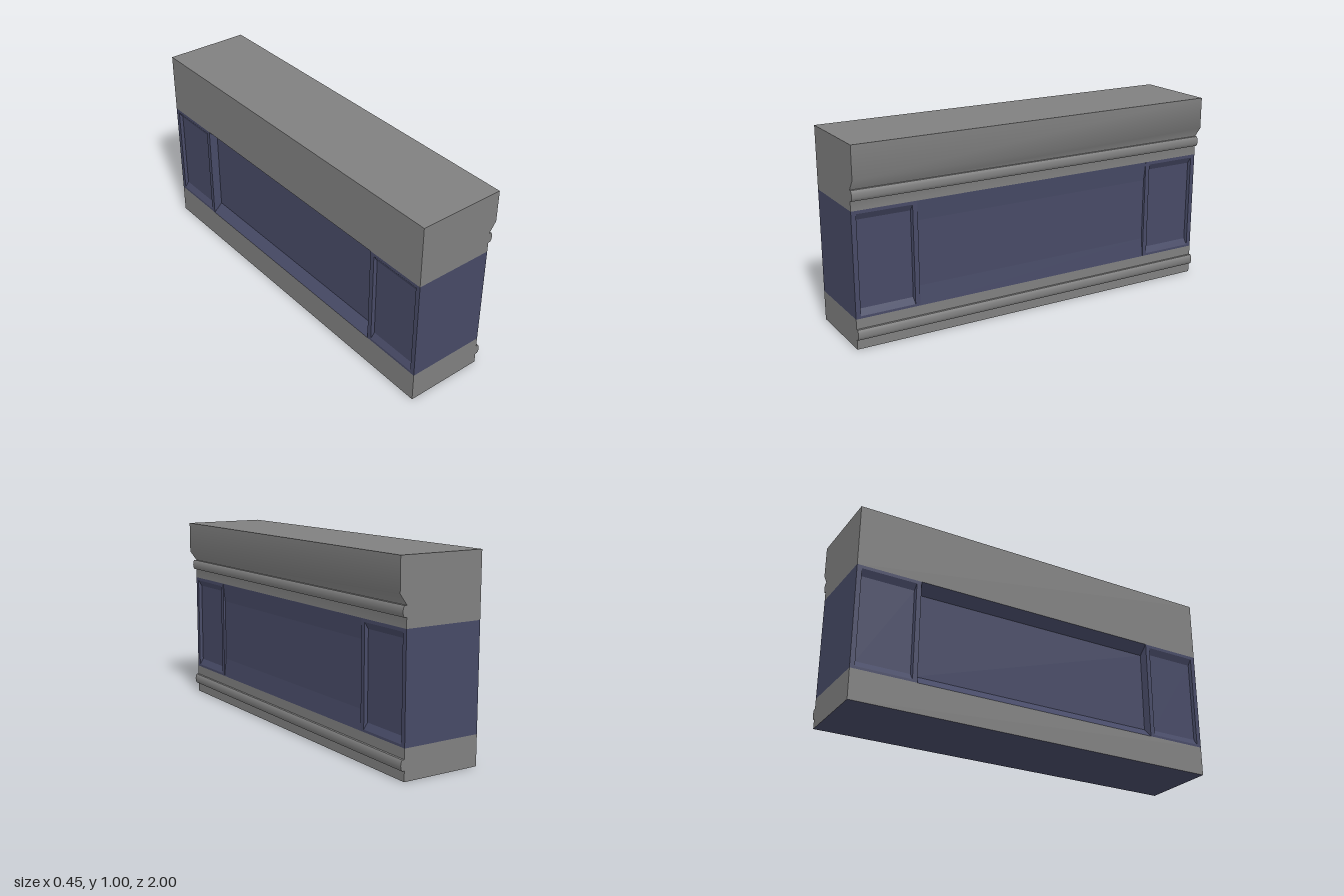
import * as THREE from 'three';
import { toCreasedNormals } from 'three/addons/utils/BufferGeometryUtils.js';

const LEFT = -0.227, RIGHT = 0.188;      // wall faces
const LOW = 0.153, HIGH = 0.682;         // coloured band
const PIER = 0.668;                      // inner edge of the end piers

export function createModel() {
  const stone = new THREE.MeshStandardMaterial({ name: 'grey stone', color: 0x808080 });
  const blue = new THREE.MeshStandardMaterial({ name: 'slate blue', color: 0x474a66 });
  const model = new THREE.Group();
  model.name = 'panelledWall';

  const add = (name, geometry, material, parent = model) => {
    const mesh = new THREE.Mesh(geometry, material);
    mesh.name = name;
    parent.add(mesh);
    return mesh;
  };

  // Runs a cross-section along the whole length of the wall
  const run = (shape) => {
    const g = new THREE.ExtrudeGeometry(shape, { depth: 2, bevelEnabled: false, curveSegments: 6 });
    g.translate(0, 0, -1);
    return toCreasedNormals(g, 0.7);
  };

  // Base with a blue underside
  const base = new THREE.BoxGeometry(RIGHT - LEFT, LOW, 2);
  base.translate((LEFT + RIGHT) / 2, LOW / 2, 0);
  add('base', base, [stone, stone, stone, blue, stone, stone]);

  // Coping with a sloped overhang
  const coping = [[LEFT, HIGH], [RIGHT, HIGH], [RIGHT, 0.785], [0.225, 0.836], [0.225, 1], [LEFT, 1]];
  add('coping', run(new THREE.Shape(coping.map(([x, y]) => new THREE.Vector2(x, y)))), stone);

  // Rounded mouldings
  for (const [name, y] of [['lowerMoulding', 0.077], ['upperMoulding', 0.758]]) {
    const s = new THREE.Shape();
    s.moveTo(RIGHT, y - 0.026);
    s.lineTo(0.2, y - 0.026);
    s.bezierCurveTo(0.211, y - 0.016, 0.211, y + 0.016, 0.2, y + 0.026);
    s.lineTo(RIGHT, y + 0.026);
    add(name, run(s), stone);
  }

  // Flat ends of the band
  for (const side of [1, -1]) {
    const end = new THREE.PlaneGeometry(RIGHT - LEFT, HIGH - LOW);
    if (side < 0) end.rotateY(Math.PI);
    end.translate((LEFT + RIGHT) / 2, (LOW + HIGH) / 2, side);
    add(side > 0 ? 'frontEnd' : 'backEnd', end, blue);
  }

  const corners = (x0, x1, y0, y1, z = 0) => [[x0, y0, z], [x1, y0, z], [x1, y1, z], [x0, y1, z]];

  // Sunken panel: four sloping walls and a floor
  const recess = (x0, x1, y0, y1, depth, slopeX, slopeY) => {
    const a = corners(x0, x1, y0, y1);
    const b = corners(x0 + slopeX, x1 - slopeX, y0 + slopeY, y1 - slopeY, -depth);
    const points = [];
    const quad = (p, q, r, s) => points.push(...p, ...q, ...r, ...p, ...r, ...s);
    for (let i = 0; i < 4; i++) quad(a[i], a[(i + 1) % 4], b[(i + 1) % 4], b[i]);
    quad(...b);
    const g = new THREE.BufferGeometry();
    g.setAttribute('position', new THREE.Float32BufferAttribute(points, 3));
    g.computeVertexNormals();
    return g;
  };

  const rectangle = (Type, ...r) =>
    new Type(corners(...r).map(([x, y]) => new THREE.Vector2(x, y)));

  // One long face: two panelled piers and a wide middle panel
  const longFace = (name, x, angle, depth, slopeX, slopeY) => {
    const face = new THREE.Group();
    face.name = name;
    face.position.x = x;
    face.rotation.y = angle;
    for (const s of [1, -1]) {
      const span = (p, q) => [Math.min(s * p, s * q), Math.max(s * p, s * q)];
      const panel = [...span(0.693, 0.975), 0.165, 0.666];
      const frame = rectangle(THREE.Shape, ...span(PIER, 1), LOW, HIGH);
      frame.holes.push(rectangle(THREE.Path, ...panel));
      add('pierFrame', new THREE.ShapeGeometry(frame), blue, face);
      add('pierPanel', recess(...panel, 0.018, 0.004, 0.032), blue, face);
    }
    add('middlePanel', recess(-PIER, PIER, LOW, HIGH, depth, slopeX, slopeY), blue, face);
    model.add(face);
  };
  longFace('mouldedFace', RIGHT, Math.PI / 2, 0.01, 0.003, 0.1);
  longFace('plainFace', LEFT, -Math.PI / 2, 0.045, 0.005, 0.05);

  return model;
}
